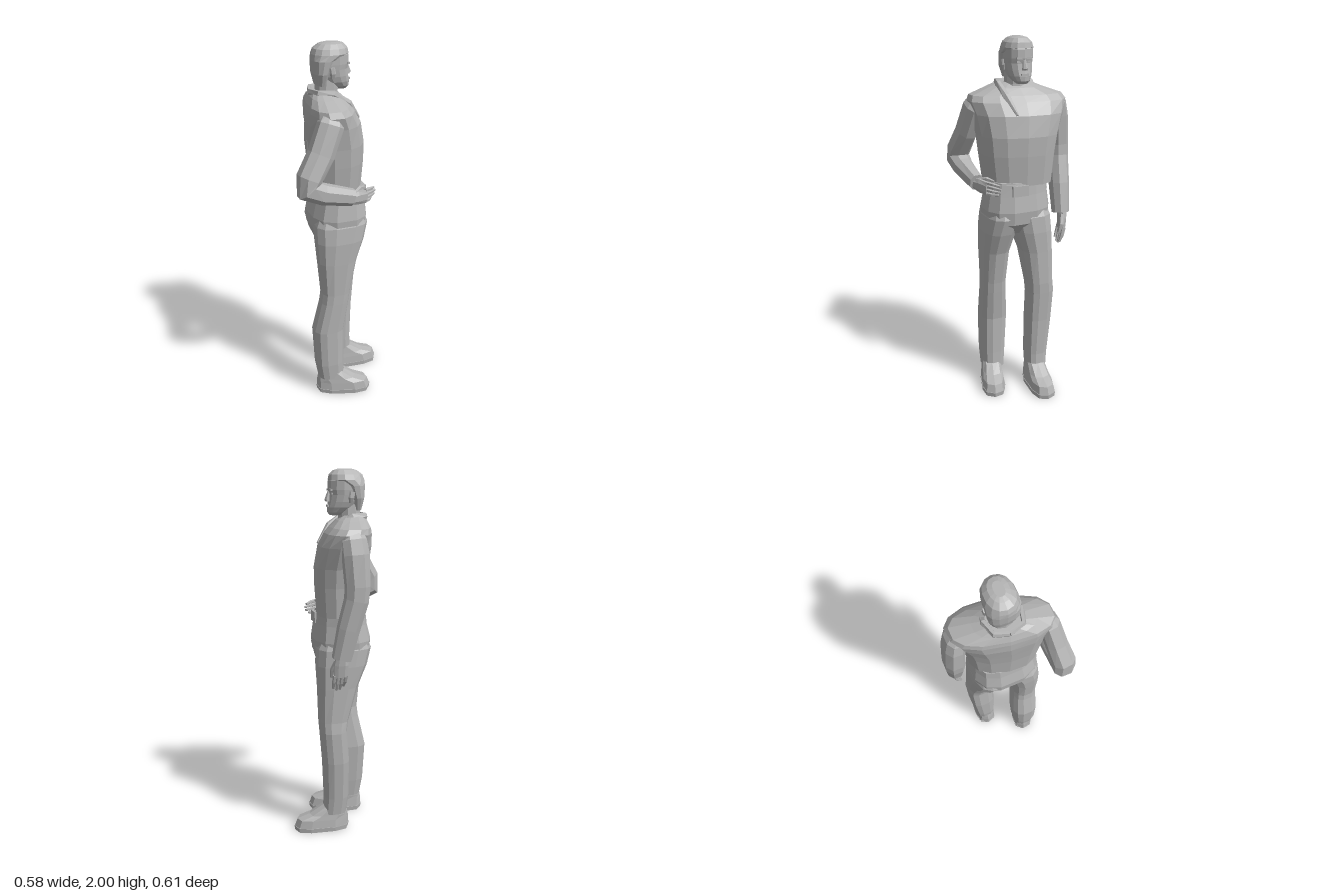
import * as THREE from 'three';

const grey = new THREE.MeshStandardMaterial({ color: 0xb4b4b4 });
grey.name = 'stone grey';
const V = (x, y, z) => new THREE.Vector3(x, y, z);

// Skin a list of rings {c, u, v} into a faceted, capped solid
function skin(name, rings, sides, power) {
  const bend = (t) => Math.sign(t) * Math.pow(Math.abs(t), power);
  const loops = rings.map(({ c, u, v }) => Array.from({ length: sides }, (_, j) => {
    const a = ((j + 0.5) / sides) * Math.PI * 2;
    return c.clone().addScaledVector(u, bend(Math.cos(a))).addScaledVector(v, bend(Math.sin(a)));
  }));
  const pos = [];
  const tri = (...p) => p.forEach((q) => pos.push(q.x, q.y, q.z));
  const last = rings.length - 1;
  for (let j = 0; j < sides; j++) {
    const k = (j + 1) % sides;
    for (let i = 0; i < last; i++) {
      tri(loops[i][j], loops[i][k], loops[i + 1][k]);
      tri(loops[i][j], loops[i + 1][k], loops[i + 1][j]);
    }
    tri(rings[0].c, loops[0][k], loops[0][j]);
    tri(rings[last].c, loops[last][j], loops[last][k]);
  }
  const g = new THREE.BufferGeometry();
  g.setAttribute('position', new THREE.Float32BufferAttribute(pos, 3));
  g.computeVertexNormals();
  const m = new THREE.Mesh(g, grey);
  m.name = name;
  return m;
}

// Level rings, bottom to top: [y, xBack, xFront, zMin, zMax]; skew shifts x along z
function stack(name, rows, { sides = 12, power = 0.75, skew = 0 } = {}) {
  return skin(name, rows.map(([y, x0, x1, z0, z1]) => ({
    c: V((x0 + x1) / 2 - skew * (z0 + z1) / 2, y, (z0 + z1) / 2),
    u: V(-skew * (z1 - z0) / 2, 0, (z1 - z0) / 2),
    v: V((x1 - x0) / 2, 0, 0),
  })), sides, power);
}

// Rings square to a path: [x, y, z, radius along ref, other radius]
function limb(name, rows, { sides = 8, power = 0.85, ref = V(0, 0, 1) } = {}) {
  const p = rows.map((r) => V(r[0], r[1], r[2]));
  return skin(name, rows.map((r, i) => {
    const w = p[Math.min(i + 1, p.length - 1)].clone().sub(p[Math.max(i - 1, 0)]).normalize();
    const u = ref.clone().addScaledVector(w, -ref.dot(w)).normalize();
    return { c: p[i], u: u.clone().multiplyScalar(r[3]), v: w.clone().cross(u).multiplyScalar(r[4]) };
  }), sides, power);
}

function box(name, size, at) {
  const m = new THREE.Mesh(new THREE.BoxGeometry(...size), grey);
  m.position.set(...at);
  m.name = name;
  return m;
}

// Hand reaching along +x, thumb side +y; fingers and thumb bend by curl along z
function hand(name, curl) {
  const g = new THREE.Group();
  g.name = name;
  const side = Math.sign(curl);
  g.add(limb('palm', [[-0.03, 0, 0, 0.026, 0.03], [0.03, 0, 0, 0.021, 0.04],
    [0.095, -0.003, side * 0.004, 0.014, 0.04]]));
  [0.03, 0.01, -0.011, -0.032].forEach((y, i) => {
    const len = [0.075, 0.085, 0.08, 0.062][i];
    g.add(limb('finger', [[0.085, y, side * 0.004, 0.012, 0.011],
      [0.09 + len * 0.5, y, side * 0.005 + curl * 0.4, 0.011, 0.01],
      [0.09 + len, y * 0.85, side * 0.006 + curl, 0.006, 0.007]], { sides: 6 }));
  });
  g.add(limb('thumb', [[0.01, 0.022, side * 0.006, 0.015, 0.015], [0.06, 0.042, side * 0.024, 0.013, 0.012],
    [0.105, 0.038, side * 0.038, 0.007, 0.007]], { sides: 6 }));
  return g;
}

// Shoe, toe toward +x
function shoe(name, x, z, yaw) {
  const g = new THREE.Group();
  g.name = name;
  g.add(stack('sole', [[0, -0.085, 0.225, -0.068, 0.068], [0.025, -0.088, 0.228, -0.07, 0.07]],
    { sides: 10, power: 0.7 }));
  g.add(stack('upper', [[0.025, -0.086, 0.225, -0.067, 0.067], [0.068, -0.084, 0.21, -0.062, 0.062],
    [0.092, -0.08, 0.14, -0.058, 0.058], [0.14, -0.07, 0.062, -0.052, 0.052]], { sides: 10, power: 0.7 }));
  g.position.set(x, 0, z);
  g.rotation.y = yaw;
  return g;
}

function head() {
  const g = new THREE.Group();
  g.name = 'head';
  const c = -0.009;
  const rows = (list) => list.map(([y, a, b, w]) => [y, a, b, c - w, c + w]);
  g.add(stack('neck', rows([[1.68, -0.12, 0.02, 0.075], [1.76, -0.105, 0.015, 0.06],
    [1.84, -0.1, 0.02, 0.058]]), { sides: 10, power: 0.9 }));
  g.add(stack('face', rows([[1.765, 0.005, 0.062, 0.028], [1.78, -0.03, 0.074, 0.044],
    [1.805, -0.08, 0.076, 0.06], [1.835, -0.1, 0.07, 0.069], [1.87, -0.11, 0.065, 0.073],
    [1.895, -0.115, 0.071, 0.075], [1.94, -0.115, 0.07, 0.075], [1.97, -0.1, 0.055, 0.06]]),
    { sides: 14, power: 0.88 }));
  g.add(stack('hair', rows([[1.79, -0.105, -0.055, 0.058], [1.85, -0.12, -0.035, 0.078],
    [1.915, -0.125, 0.0, 0.083], [1.945, -0.124, 0.071, 0.081], [1.972, -0.114, 0.066, 0.071],
    [1.993, -0.085, 0.045, 0.048], [2, -0.06, 0.02, 0.025]]), { sides: 14, power: 0.9 }));
  g.add(stack('nose', rows([[1.835, 0.05, 0.084, 0.015], [1.845, 0.05, 0.09, 0.014],
    [1.888, 0.05, 0.073, 0.008]]), { sides: 6 }));
  g.add(box('mouth', [0.008, 0.011, 0.04], [0.073, 1.813, c]));
  for (const s of [-1, 1]) {
    g.add(limb('ear', [[-0.035, 1.83, c + s * 0.069, 0.008, 0.01], [-0.035, 1.855, c + s * 0.077, 0.009, 0.016],
      [-0.04, 1.885, c + s * 0.077, 0.007, 0.015]], { sides: 6 }));
    g.add(box('brow', [0.012, 0.01, 0.034], [0.062, 1.895, c + s * 0.027]));
    g.add(box('eye', [0.008, 0.01, 0.024], [0.058, 1.877, c + s * 0.028]));
  }
  return g;
}

export function createModel() {
  const man = new THREE.Group();
  man.name = 'standing man';

  // Trousers: the right leg (+z) stands back, the left one forward
  man.add(stack('rightLeg', [
    [0.1, -0.15, 0.0, 0.07, 0.197], [0.2, -0.167, -0.003, 0.06, 0.202], [0.42, -0.177, -0.003, 0.045, 0.202],
    [0.6, -0.137, 0.024, 0.06, 0.203], [0.66, -0.13, 0.032, 0.065, 0.203], [0.85, -0.147, 0.07, 0.055, 0.207],
    [0.97, -0.155, 0.115, 0.03, 0.208], [1.06, -0.155, 0.14, 0.0, 0.2], [1.14, -0.12, 0.11, 0.02, 0.17]]));
  man.add(stack('leftLeg', [
    [0.1, -0.005, 0.125, -0.143, -0.027], [0.2, -0.017, 0.12, -0.153, -0.024], [0.42, -0.017, 0.13, -0.175, -0.024],
    [0.6, -0.002, 0.145, -0.182, -0.024], [0.66, -0.012, 0.149, -0.175, -0.02], [0.85, -0.07, 0.152, -0.173, 0.005],
    [0.97, -0.125, 0.155, -0.173, 0.04], [1.06, -0.15, 0.15, -0.168, 0.06], [1.14, -0.12, 0.11, -0.14, 0.02]]));
  man.add(stack('hips', [
    [0.965, -0.09, 0.09, -0.06, 0.13], [1.03, -0.154, 0.145, -0.166, 0.198], [1.1, -0.16, 0.153, -0.17, 0.202],
    [1.19, -0.137, 0.14, -0.157, 0.187], [1.26, -0.12, 0.13, -0.15, 0.175]]));
  man.add(stack('belt', [[1.19, -0.139, 0.142, -0.159, 0.189], [1.25, -0.13, 0.136, -0.155, 0.18]]));
  man.add(box('buckle', [0.02, 0.058, 0.09], [0.135, 1.218, 0.045]));
  man.add(shoe('rightShoe', -0.075, 0.138, -0.3), shoe('leftShoe', 0.063, -0.08, -0.08));

  // Jacket, turned slightly with the left shoulder forward
  man.add(stack('jacket', [
    [1.24, -0.135, 0.135, -0.175, 0.182], [1.4, -0.142, 0.146, -0.19, 0.203], [1.5, -0.152, 0.148, -0.207, 0.213],
    [1.61, -0.164, 0.128, -0.245, 0.23], [1.675, -0.162, 0.09, -0.268, 0.248],
    [1.705, -0.157, 0.062, -0.25, 0.235], [1.74, -0.142, 0.025, -0.15, 0.145],
    [1.765, -0.125, -0.01, -0.09, 0.075]], { sides: 14, power: 0.8, skew: 0.16 }));
  for (const s of [-1, 1]) {
    // Collar running round the neck into a lapel
    man.add(limb('collar', [[-0.135, 1.755, -0.005, 0.02, 0.012], [-0.113, 1.758, s * 0.073, 0.022, 0.013],
      [-0.04, 1.757, s * 0.093, 0.022, 0.016], [0.04, 1.705, s * 0.083, 0.02, 0.02],
      [0.112, 1.615, s * 0.05, 0.008, 0.007]], { sides: 6, ref: V(0, 1, 0) }));
  }
  man.add(head());

  // Right arm bent at the waist
  man.add(limb('rightSleeve', [
    [-0.085, 1.69, 0.185, 0.035, 0.045], [-0.1, 1.64, 0.208, 0.052, 0.07], [-0.16, 1.5, 0.23, 0.055, 0.07],
    [-0.228, 1.39, 0.25, 0.061, 0.066], [-0.238, 1.338, 0.252, 0.061, 0.066],
    [-0.16, 1.302, 0.252, 0.054, 0.056], [0.005, 1.256, 0.242, 0.038, 0.046]]));
  const rightHand = hand('rightHand', -0.03);
  rightHand.position.set(0.008, 1.248, 0.24);
  rightHand.rotation.set(0, 0.24, -0.06);
  rightHand.scale.setScalar(0.95);
  man.add(rightHand);

  // Left arm hanging
  man.add(limb('leftSleeve', [
    [0.06, 1.04, -0.238, 0.046, 0.052], [0.025, 1.2, -0.244, 0.054, 0.06], [-0.015, 1.35, -0.252, 0.056, 0.064],
    [-0.02, 1.42, -0.253, 0.056, 0.066], [-0.012, 1.58, -0.243, 0.054, 0.072],
    [-0.005, 1.65, -0.232, 0.048, 0.068], [-0.003, 1.69, -0.212, 0.035, 0.05]]));
  const leftHand = hand('leftHand', 0.025);
  leftHand.position.set(0.062, 1.04, -0.245);
  leftHand.rotation.set(0, 0, -Math.PI / 2 + 0.06);
  man.add(leftHand);

  return man;
}
